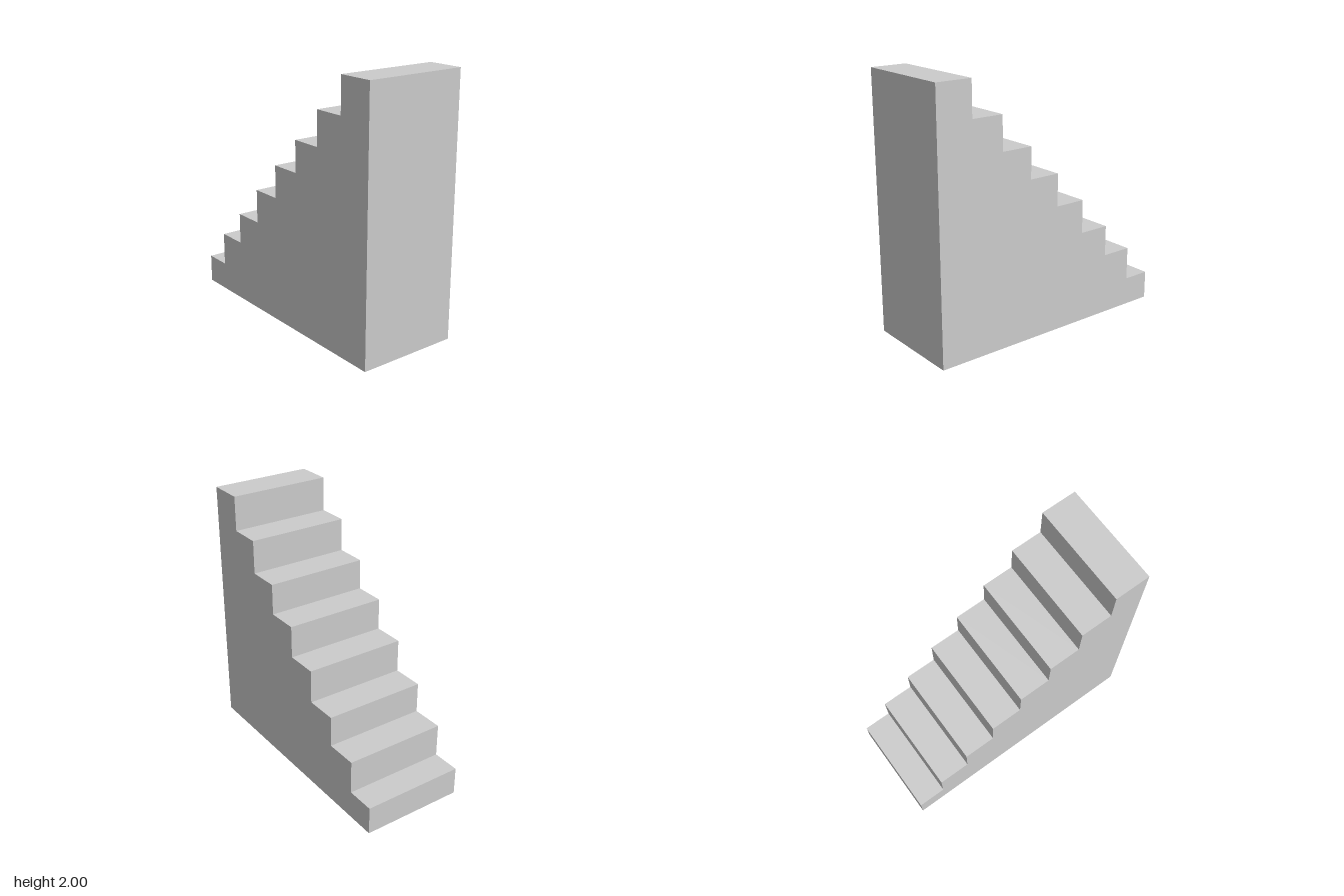
import * as THREE from 'three';

export function createModel() {
  const group = new THREE.Group();
  group.name = 'staircase';

  // Start of each tread in x, and its height, from lowest to highest
  const steps = [
    [-1, 0.22], [-0.78, 0.48], [-0.53, 0.72], [-0.28, 0.98],
    [-0.03, 1.23], [0.22, 1.47], [0.47, 1.73], [0.72, 2],
  ];
  const endX = 1;
  const width = 0.8;

  // Stepped side profile: a riser, then a tread, for every step
  const profile = new THREE.Shape();
  profile.moveTo(endX, 0);
  profile.lineTo(steps[0][0], 0);
  steps.forEach(([x, y], i) => {
    const nextX = i + 1 < steps.length ? steps[i + 1][0] : endX;
    profile.lineTo(x, y);
    profile.lineTo(nextX, y);
  });
  profile.closePath();

  // Solid block of stairs, centred across its width
  const geometry = new THREE.ExtrudeGeometry(profile, { depth: width, bevelEnabled: false });
  geometry.translate(0, 0, -width / 2);

  const material = new THREE.MeshStandardMaterial({ color: 0xcccccc, flatShading: true });
  const stairs = new THREE.Mesh(geometry, material);
  stairs.name = 'solidStairs';
  group.add(stairs);

  return group;
}
